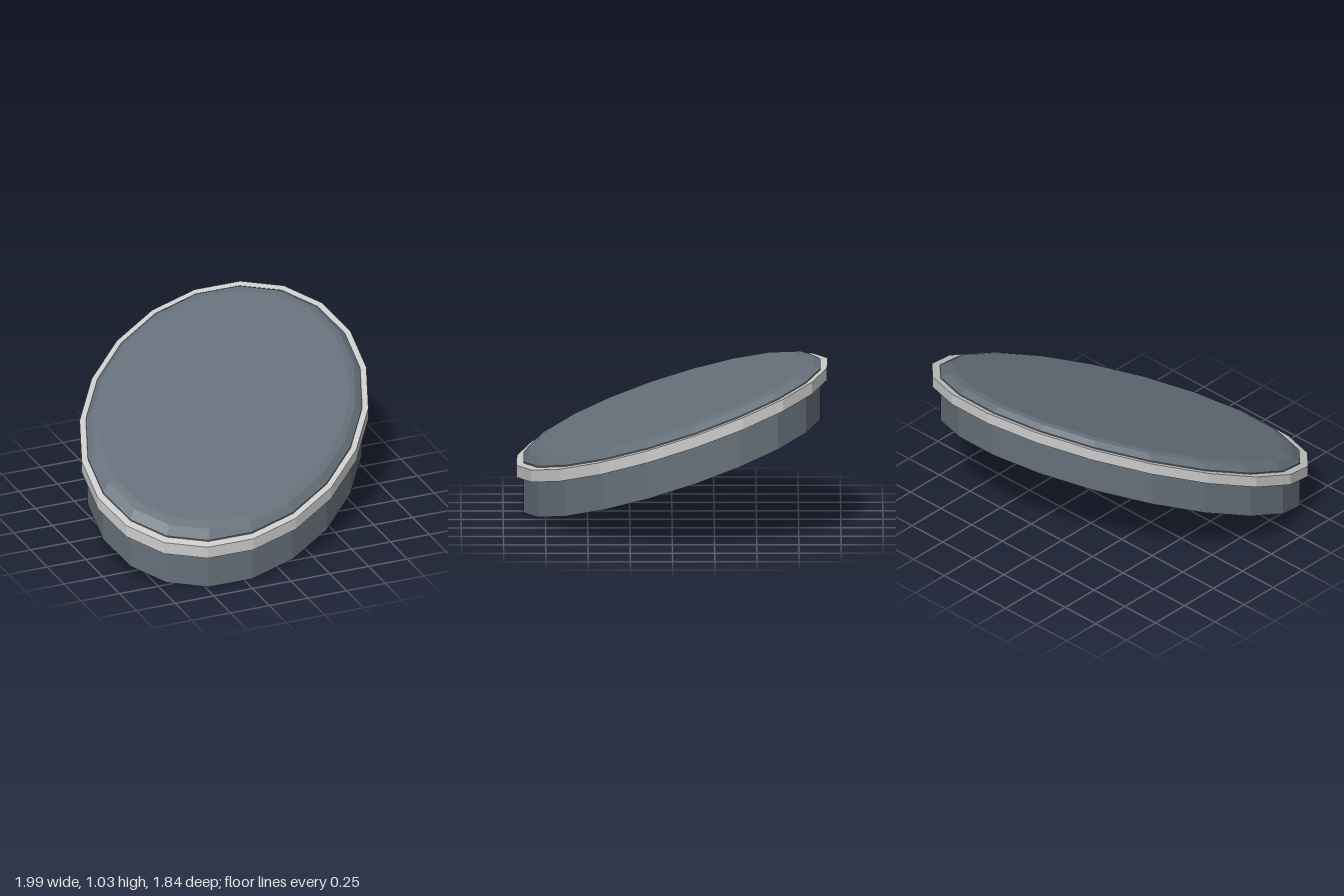
import * as THREE from 'three';

const SIDES = 20;
const SLOPE = 0.4; // rise towards the back
const BASE = 0.355; // height of the underside at the centre

// Turns a round lathe into a slanted oval with upright walls
const oval = new THREE.Matrix4().set(
  0.98, 0, -0.21, 0,
  SLOPE * 0.14, 1, -SLOPE * 0.92, BASE,
  -0.14, 0, 0.92, 0,
  0, 0, 0, 1
);

function ovalPart(name, color, profile) {
  const points = profile.map(([r, h]) => new THREE.Vector2(r, h));
  const geometry = new THREE.LatheGeometry(points, SIDES).applyMatrix4(oval).toNonIndexed();
  geometry.computeVertexNormals();
  const material = new THREE.MeshStandardMaterial({ color, flatShading: true });
  const mesh = new THREE.Mesh(geometry, material);
  mesh.name = name;
  return mesh;
}

export function createModel() {
  const group = new THREE.Group();
  group.name = 'slantedOvalButton';

  // Solid body with a two-step bevelled top
  group.add(ovalPart('body', 0x66707a, [
    [0, 0], [0.957, 0], [0.957, 0.308], [0.913, 0.344], [0.87, 0.356], [0, 0.356],
  ]));

  // Thin band around the upper edge
  group.add(ovalPart('rim', 0xcccccc, [
    [1, 0.227], [1, 0.3], [0.95, 0.3], [0.95, 0.227], [1, 0.227],
  ]));

  return group;
}
